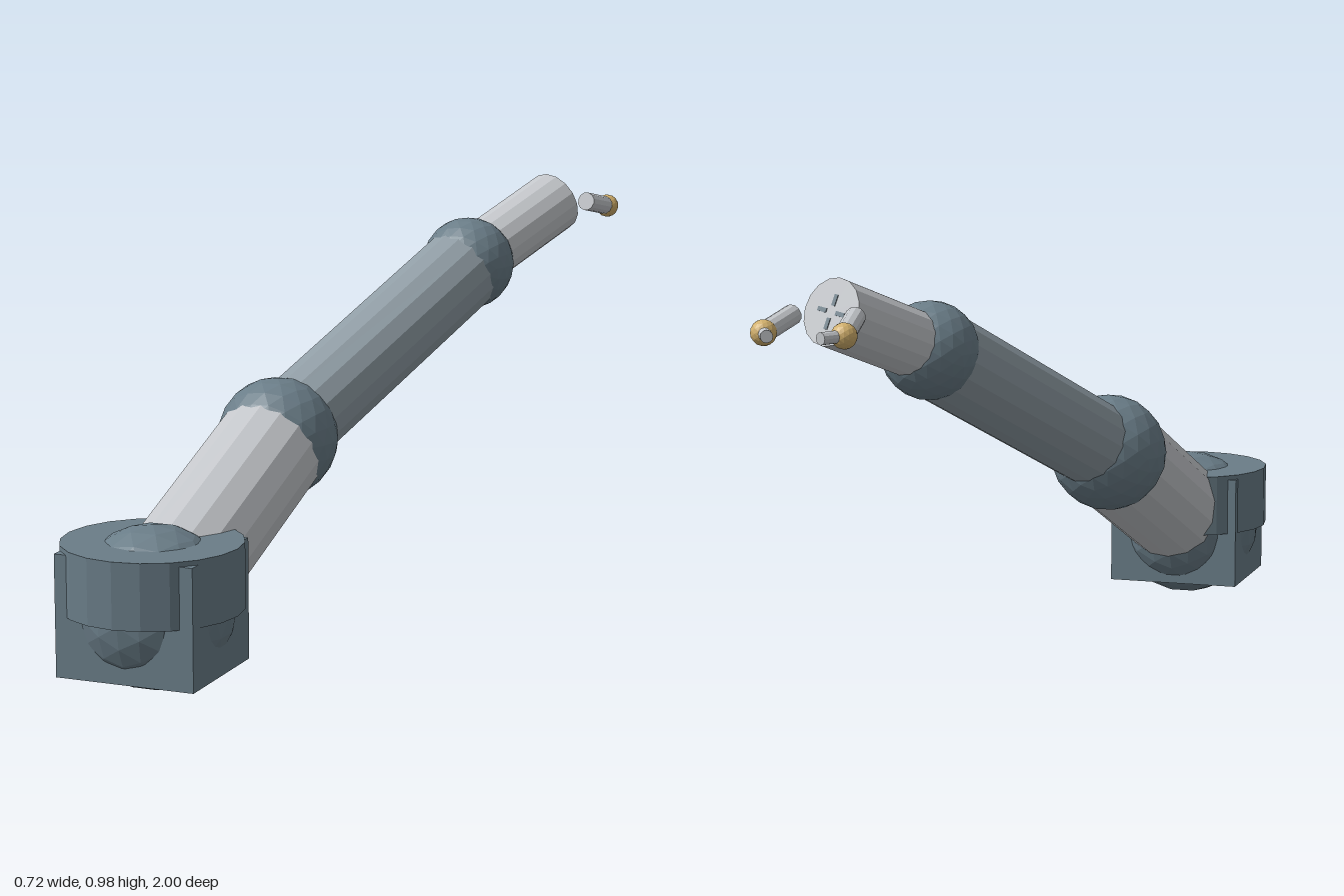
import * as THREE from 'three';

const material = (name, color) => {
  const m = new THREE.MeshStandardMaterial({ color, flatShading: true });
  m.name = name;
  return m;
};

export function createModel() {
  const steel = material('dark blue steel', 0x6a7d88);
  const casing = material('blue grey casing', 0x8f9ca4);
  const silver = material('light silver', 0xc3c6ca);
  const brass = material('brass', 0xd2b06c);
  const V = (x, y, z) => new THREE.Vector3(x, y, z);
  const UP = V(0, 1, 0);
  const model = new THREE.Group();
  model.name = 'roboticArm';

  const add = (name, geometry, mat, position, parent = model) => {
    const mesh = new THREE.Mesh(geometry, mat);
    mesh.name = name;
    mesh.position.copy(position);
    parent.add(mesh);
    return mesh;
  };
  const ball = (name, p, r, mat, parent, detail = 3) =>
    add(name, new THREE.IcosahedronGeometry(r, detail), mat, p, parent);
  // Straight cylinder from a to b
  const rod = (name, a, b, r, mat, parent, sides = 16) => {
    const dir = b.clone().sub(a);
    const mesh = add(name, new THREE.CylinderGeometry(r, r, dir.length(), sides), mat,
      a.clone().add(b).multiplyScalar(0.5), parent);
    mesh.quaternion.setFromUnitVectors(UP, dir.normalize());
    return mesh;
  };

  const shoulder = V(-0.16, 0.19, 0.79);
  const elbow = V(-0.107, 0.462, 0.22);
  const wrist = V(0.122, 0.792, -0.45);
  const hand = V(0.24, 0.912, -0.762);

  // Base: block, turntable and shoulder ball
  add('baseBlock', new THREE.BoxGeometry(0.333, 0.28, 0.295), steel, V(-0.159, 0.19, 0.797));
  add('turntable', new THREE.CylinderGeometry(0.206, 0.206, 0.152, 20), steel, V(-0.16, 0.265, 0.793));
  ball('shoulderJoint', shoulder, 0.186, steel);

  // Arm segments and joints
  rod('upperArm', shoulder, elbow, 0.132, silver);
  ball('elbowJoint', elbow, 0.143, steel);
  rod('forearm', elbow, wrist, 0.105, casing);
  ball('wristJoint', wrist, 0.114, steel);
  rod('wristArm', wrist, hand, 0.078, silver);

  // Small dark slots on the end cap
  const slots = new THREE.Group();
  slots.name = 'endCapSlots';
  slots.position.copy(hand);
  slots.quaternion.setFromUnitVectors(UP, hand.clone().sub(wrist).normalize());
  model.add(slots);
  for (let i = 0; i < 4; i++) {
    const a = i * Math.PI / 2 + 0.5;
    const slot = add('slot', new THREE.BoxGeometry(0.026, 0.004, 0.01), steel,
      V(Math.cos(a) * 0.027, 0, Math.sin(a) * 0.027), slots);
    slot.rotation.y = -a;
  }

  // Pair of gripper fingers, each with a brass knuckle
  for (const side of [-1, 1]) {
    const finger = new THREE.Group();
    finger.name = side > 0 ? 'leftFinger' : 'rightFinger';
    model.add(finger);
    const at = (dx, y, z) => V(0.238 + side * dx, y, z);
    const knuckle = at(0.092, 0.884, -0.932);
    rod('fingerBase', at(0.073, 0.91, -0.812), knuckle, 0.023, silver, finger, 12);
    ball('knuckle', knuckle, 0.029, brass, finger, 2);
    rod('fingerTip', knuckle, at(0.061, 0.884, -0.991), 0.014, silver, finger, 12);
  }
  return model;
}
